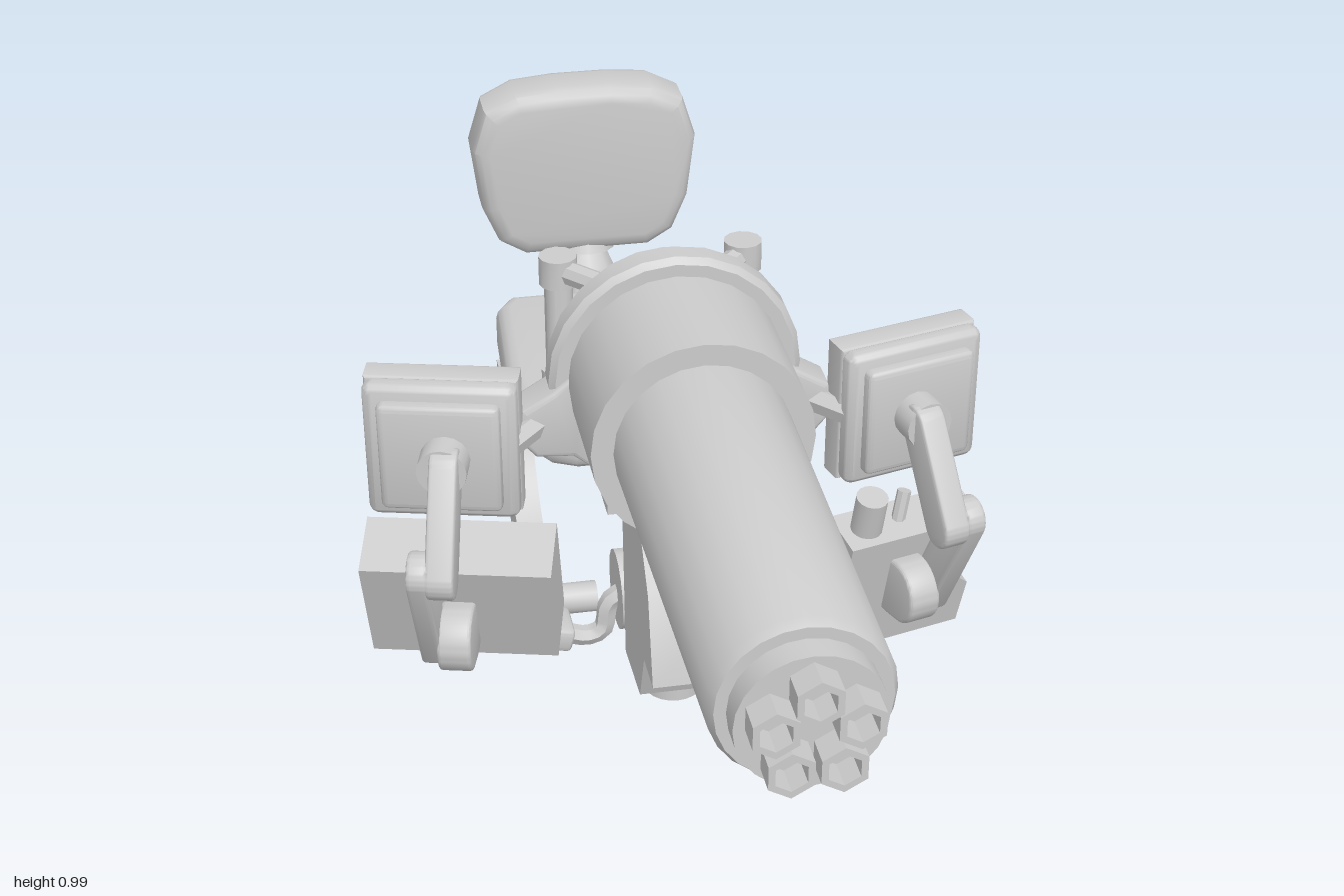
import * as THREE from 'three';
import { toCreasedNormals } from 'three/addons/utils/BufferGeometryUtils.js';
import { RoundedBoxGeometry } from 'three/addons/geometries/RoundedBoxGeometry.js';

const grey = new THREE.MeshStandardMaterial({ color: 0xcccccc });
const V = (x, y, z) => new THREE.Vector3(x, y, z);
const AXIS = 0.79; // height of the gun axis

function add(parent, name, geo, x = 0, y = 0, z = 0) {
  const mesh = new THREE.Mesh(toCreasedNormals(geo, 0.6), grey);
  mesh.name = name;
  mesh.position.set(x, y, z);
  parent.add(mesh);
  return mesh;
}
const box = (w, h, d) => new THREE.BoxGeometry(w, h, d);

// Straight round bar between two points
function rod(parent, name, a, b, r, sides = 16, r2 = r) {
  const m = add(parent, name, new THREE.CylinderGeometry(r2, r, a.distanceTo(b), sides));
  m.position.copy(a).lerp(b, 0.5);
  m.quaternion.setFromUnitVectors(V(0, 1, 0), b.clone().sub(a).normalize());
  return m;
}
const shapeOf = pts => new THREE.Shape(pts.map(p => new THREE.Vector2(p[0], p[1])));

// Extrusion centred on its depth, with an optional bevel inside the outline
function slab(shape, depth, bevel = 0) {
  const geo = new THREE.ExtrudeGeometry(shape, {
    depth: depth - 2 * bevel, bevelEnabled: bevel > 0, bevelSize: bevel,
    bevelThickness: bevel, bevelOffset: -bevel, bevelSegments: 3, curveSegments: 12,
  });
  return geo.translate(0, 0, bevel - depth / 2);
}
// Side profile given as (z, y), given thickness along x
const sidePlate = (shape, width, bevel = 0) => slab(shape, width, bevel).rotateY(-Math.PI / 2);

// Round-ended link in the side plane
function link(parent, name, x, a, b, r, width) {
  const ang = Math.atan2(b[1] - a[1], b[0] - a[0]), s = new THREE.Shape();
  s.absarc(b[0], b[1], r, ang - Math.PI / 2, ang + Math.PI / 2, false);
  s.absarc(a[0], a[1], r, ang + Math.PI / 2, ang + Math.PI * 1.5, false);
  return add(parent, name, sidePlate(s, width, 0.006), x);
}
// Outline with its mirror image added
const mirrored = half => shapeOf([...half, ...half.slice().reverse().map(([x, y]) => [-x, y])]);

function frame(w, h, hole, depth, bevel = 0) {
  const rect = (a, b) => [[-a, -b], [a, -b], [a, b], [-a, b]];
  const s = shapeOf(rect(w / 2, h / 2));
  s.holes.push(shapeOf(rect(w / 2 - hole, h / 2 - hole)));
  return slab(s, depth, bevel);
}

function buildGun(root) {
  const gun = new THREE.Group();
  gun.name = 'gun';
  gun.position.y = AXIS;
  root.add(gun);
  const lathe = pts => new THREE.LatheGeometry(pts.map(p => new THREE.Vector2(...p)), 24).rotateX(Math.PI / 2);
  add(gun, 'housing', lathe([[0, -0.1], [0.15, -0.1], [0.175, -0.08], [0.175, 0.25], [0.14, 0.25],
    [0.13, 0.9], [0.122, 0.915], [0.105, 0.915], [0.105, 0.955], [0.09, 0.955], [0, 0.955]]));
  add(gun, 'housingRing', lathe([[0.15, -0.03], [0.195, -0.03], [0.205, -0.02], [0.205, 0.015], [0.195, 0.025], [0.15, 0.025]]));
  // Cluster of hexagonal muzzles
  for (let i = 0; i < 5; i++) {
    const a = Math.PI / 2 + i * Math.PI * 0.4;
    const hex = r => [0, 1, 2, 3, 4, 5].map(k => [r * Math.cos(k * Math.PI / 3 + Math.PI / 6), r * Math.sin(k * Math.PI / 3 + Math.PI / 6)]);
    const s = shapeOf(hex(0.036));
    s.holes.push(shapeOf(hex(0.025)));
    add(gun, 'muzzle', slab(s, 0.06), 0.06 * Math.cos(a), 0.06 * Math.sin(a), 0.97);
  }
  rod(gun, 'rearDrum', V(0, -0.02, -0.09), V(0, -0.02, -0.24), 0.06);
  for (const s of [-1, 1]) {
    // Vertical grip held by an arm at each end
    rod(gun, 'grip', V(s * 0.155, -0.13, -0.2), V(s * 0.155, 0.1, -0.2), 0.024);
    for (const y of [-0.12, 0.09]) {
      rod(gun, 'gripArm', V(s * 0.05, y, -0.08), V(s * 0.155, y, -0.2), 0.02, 8);
      rod(gun, 'gripCap', V(s * 0.155, y - 0.025, -0.2), V(s * 0.155, y + 0.025, -0.2), 0.032, 12);
    }
    // Side ears that carry the displays
    const ear = shapeOf([[0.15, 0.03], [0.2, -0.01], [0.25, -0.04], [0.26, -0.09], [0.23, -0.125], [0.17, -0.13], [0.12, -0.17]].map(([x, y]) => [s * x, y]));
    add(gun, 'ear', slab(ear, 0.07, 0.008));
    rod(gun, 'earPivot', V(s * 0.21, -0.07, 0), V(s * 0.28, -0.075, 0.07), 0.022, 6);
  }
}

function buildPost(root) {
  add(root, 'frontBracket', sidePlate(shapeOf([[-0.03, 0.64], [0.1, 0.64], [0.22, 0.5], [0.26, 0.35],
    [0.18, 0.35], [0.14, 0.25], [0.0, 0.24]]), 0.165));
  add(root, 'saddle', box(0.24, 0.1, 0.14), 0, 0.61, -0.01);
  rod(root, 'post', V(0, 0.16, 0), V(0, 0.6, 0), 0.05, 20);
  rod(root, 'postCollar', V(0, 0.225, 0), V(0, 0.3, 0), 0.072, 16);
  rod(root, 'upperCollar', V(0, 0.5, 0), V(0, 0.57, 0), 0.075, 16);
  // Joint behind the post and pedals on bent hexagonal bars
  add(root, 'rearArm', box(0.08, 0.07, 0.14), 0, 0.275, -0.07);
  rod(root, 'rearJoint', V(-0.075, 0.275, -0.14), V(0.075, 0.275, -0.14), 0.072, 16);
  for (const s of [-1, 1]) {
    const path = new THREE.CatmullRomCurve3([V(s * 0.06, 0.27, -0.14), V(s * 0.088, 0.25, -0.14),
      V(s * 0.1, 0.195, -0.14), V(s * 0.13, 0.183, -0.14), V(s * 0.18, 0.2, -0.14)]);
    add(root, 'pedalBar', new THREE.TubeGeometry(path, 12, 0.018, 6));
    add(root, 'pedal', new RoundedBoxGeometry(0.11, 0.045, 0.085, 2, 0.01), s * 0.21, 0.208, -0.145).rotation.z = s * 0.25;
  }
}

function buildSeat(root) {
  // Zigzag support arm
  add(root, 'supportArm', sidePlate(shapeOf([[-0.16, 0.31], [-0.24, 0.37], [-0.33, 0.31], [-0.39, 0.34], [-0.39, 0.42],
    [-0.5, 0.42], [-0.49, 0.33], [-0.44, 0.295], [-0.38, 0.295], [-0.32, 0.25], [-0.2, 0.3], [-0.18, 0.26]].reverse()), 0.05));
  add(root, 'seatCushion', slab(mirrored([[0.11, 0.335], [0.16, 0.36], [0.195, 0.42], [0.21, 0.52],
    [0.195, 0.79], [0.165, 0.835]]), 0.11, 0.028).rotateX(-Math.PI / 2), 0, 0.456, 0);
  add(root, 'seatBracket', sidePlate(shapeOf([[-0.52, 0.41], [-0.55, 0.31], [-0.63, 0.31], [-0.67, 0.41]].reverse()), 0.18));
  rod(root, 'seatPin', V(0, 0.23, -0.59), V(0, 0.36, -0.59), 0.04);
  add(root, 'backrest', slab(mirrored([[0.12, 0.56], [0.17, 0.59], [0.2, 0.66], [0.215, 0.78], [0.19, 0.86],
    [0.13, 0.89], [0.05, 0.897]]), 0.12, 0.03), 0, 0, -0.94);
  // Ribbed neck of the backrest
  const neck = new THREE.QuadraticBezierCurve3(V(0, 0.445, -0.81), V(0, 0.46, -0.93), V(0, 0.6, -0.94));
  for (let i = 0; i < 5; i++)
    rod(root, 'neckRib', neck.getPoint(i / 5), neck.getPoint((i + 1) / 5), 0.058, 10, 0.04);
  // Curved side runners with foot and cross pegs
  const runner = new THREE.Shape();
  runner.absarc(-0.43, 0.385, 0.365, Math.PI, Math.PI * 1.5, false);
  runner.absarc(-0.43, 0.053, 0.05, -Math.PI / 2, Math.PI / 2, false);
  runner.absarc(-0.43, 0.385, 0.265, Math.PI * 1.5, Math.PI, true);
  for (const s of [-1, 1]) {
    add(root, 'runner', sidePlate(runner, 0.05), s * 0.172, 0.004);
    rod(root, 'footPeg', V(s * 0.065, 0.058, -0.44), V(s * 0.15, 0.058, -0.44), 0.03);
  }
  rod(root, 'crossPeg', V(-0.15, 0.347, -0.71), V(0.15, 0.347, -0.71), 0.03);
  add(root, 'runnerMount', box(0.12, 0.09, 0.09), 0, 0.375, -0.7);
}

// Display, elbow arm and control box on one side
function buildStation(root, s) {
  const g = new THREE.Group();
  g.name = s > 0 ? 'leftStation' : 'rightStation';
  g.position.set(s * 0.38, 0, 0.045);
  g.rotation.y = s * 0.25;
  root.add(g);
  add(g, 'displayShell', new RoundedBoxGeometry(0.245, 0.24, 0.04, 3, 0.018), 0, 0.71, 0.005);
  add(g, 'displayRim', frame(0.245, 0.24, 0.03, 0.05, 0.007), 0, 0.71, -0.03);
  add(g, 'displayBack', new RoundedBoxGeometry(0.195, 0.19, 0.03, 2, 0.012), 0, 0.71, 0.03);
  rod(g, 'armShoulder', V(-s * 0.01, 0.715, 0.03), V(-s * 0.01, 0.715, 0.09), 0.04);
  link(g, 'upperLink', -s * 0.015, [0.08, 0.715], [0.17, 0.575], 0.036, 0.045);
  link(g, 'lowerLink', s * 0.02, [0.17, 0.58], [0.075, 0.385], 0.036, 0.034);
  link(g, 'armWrist', -s * 0.02, [0.04, 0.39], [0.075, 0.395], 0.055, 0.055);

  const c = new THREE.Group();
  c.name = 'controlBox';
  g.add(c);
  if (s > 0) {
    // Notched control unit with knobs on top
    c.position.set(-0.005, 0.39, 0);
    c.rotation.x = 0.22;
    const half = [[0.12, -0.13], [0.125, -0.04], [0.108, -0.025], [0.108, 0.03], [0.122, 0.045], [0.122, 0.115]];
    add(c, 'unitBody', slab(mirrored(half), 0.085));
    add(c, 'unitPanel', frame(0.2, 0.09, 0.02, 0.03), 0, -0.06, -0.05);
    add(c, 'unitShelf', box(0.2, 0.07, 0.04), 0, 0.05, -0.05);
    add(c, 'unitSlot', box(0.14, 0.025, 0.02), 0, 0.05, -0.072);
    rod(c, 'bigKnob', V(-0.075, 0.1, 0), V(-0.075, 0.185, 0), 0.027);
    rod(c, 'smallKnob', V(0.085, 0.1, 0), V(0.085, 0.14, 0), 0.022);
    rod(c, 'lever', V(-0.015, 0.1, 0), V(0.0, 0.16, -0.02), 0.012, 8);
  } else {
    // Wide console with a framed panel facing the seat
    c.position.set(0.02, 0.43, 0);
    c.rotation.x = 0.35;
    add(c, 'consoleBody', box(0.31, 0.22, 0.085));
    add(c, 'consoleFrame', frame(0.31, 0.22, 0.022, 0.03), 0, 0, -0.052);
    add(c, 'consolePanel', frame(0.2, 0.12, 0.018, 0.02), 0, 0.01, -0.048);
    add(c, 'consoleScreen', box(0.12, 0.05, 0.015), 0, 0.01, -0.046);
    for (const x of [-0.07, 0, 0.07])
      add(c, 'consoleKey', box(0.045, 0.018, 0.02), x, -0.07, -0.046);
  }
}

export function createModel() {
  const root = new THREE.Group();
  root.name = 'gunTurret';
  buildGun(root);
  buildPost(root);
  buildSeat(root);
  for (const s of [-1, 1]) buildStation(root, s);
  return root;
}
